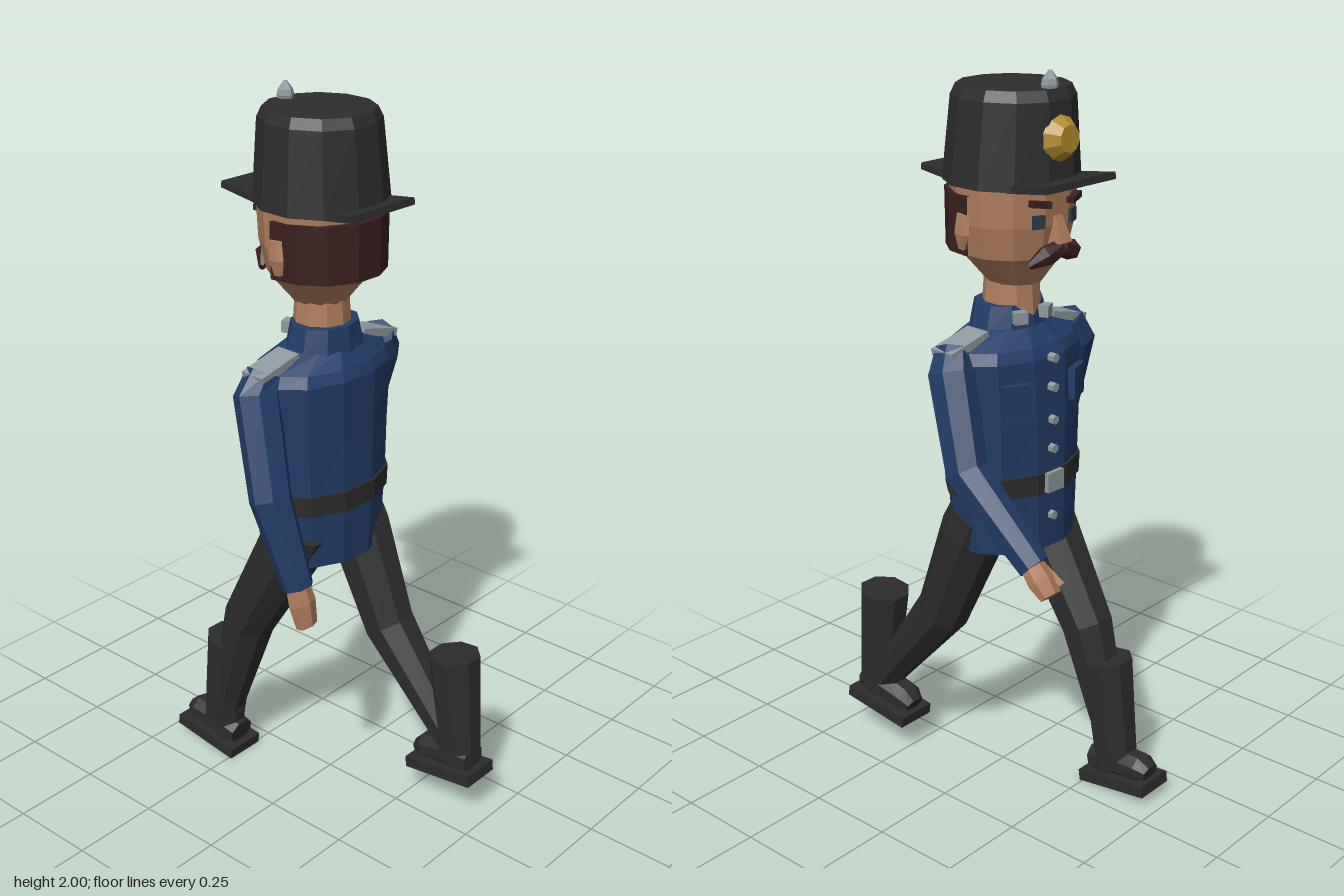
import * as THREE from 'three';

const makeMat = (name, color) => {
  const m = new THREE.MeshStandardMaterial({ color });
  m.name = name;
  return m;
};

// Faceted normals for the low-poly look
function facet(geo) {
  const g = geo.index ? geo.toNonIndexed() : geo;
  g.computeVertexNormals();
  return g;
}

// Capped loft through points; each radius is a number or [across, deep]
function loft(points, radii, n, level = false) {
  const P = points.map(p => new THREE.Vector3(...p));
  const verts = [], idx = [], k = 1 / Math.cos(Math.PI / n);
  P.forEach((p, i) => {
    const t = level ? new THREE.Vector3(0, 1, 0)
      : P[Math.min(i + 1, P.length - 1)].clone().sub(P[Math.max(i - 1, 0)]).normalize();
    const u = new THREE.Vector3(1, 0, 0).addScaledVector(t, -t.x).normalize();
    const v = t.clone().cross(u);
    const [a, b] = [radii[i]].flat().length > 1 ? radii[i] : [radii[i], radii[i]];
    for (let j = 0; j < n; j++) {
      const w = (j + 0.5) * 2 * Math.PI / n;
      const q = p.clone().addScaledVector(u, a * k * Math.cos(w)).addScaledVector(v, b * k * Math.sin(w));
      verts.push(q.x, q.y, q.z);
    }
  });
  const last = (P.length - 1) * n, c0 = P.length * n;
  verts.push(...P[0].toArray(), ...P[P.length - 1].toArray());
  for (let j = 0; j < n; j++) {
    const m = (j + 1) % n;
    for (let r = 0; r < last; r += n) idx.push(r + j, r + m, r + n + m, r + j, r + n + m, r + n + j);
    idx.push(c0, m, j, c0 + 1, last + j, last + m);
  }
  const g = new THREE.BufferGeometry();
  g.setAttribute('position', new THREE.Float32BufferAttribute(verts, 3));
  g.setIndex(idx);
  return facet(g);
}

export function createModel() {
  const root = new THREE.Group();
  root.name = 'walkingOfficer';
  const navy = makeMat('navyCloth', 0x223d68);
  const black = makeMat('blackCloth', 0x2d2d2d);
  const skin = makeMat('skin', 0xb17e5d);
  const hair = makeMat('darkBrownHair', 0x3b1f1f);
  const silver = makeMat('silver', 0x8f999f);
  const gold = makeMat('gold', 0xb38c2e);
  const eye = makeMat('eyeSlate', 0x2c3a48);

  const add = (parent, name, geo, mat, pos = [0, 0, 0], rot = [0, 0, 0]) => {
    const m = new THREE.Mesh(geo, mat);
    m.name = name;
    m.position.set(...pos);
    m.rotation.set(...rot);
    parent.add(m);
    return m;
  };
  const box = (w, h, d) => new THREE.BoxGeometry(w, h, d);
  const group = (name, parent = root) => {
    const g = new THREE.Group();
    g.name = name;
    parent.add(g);
    return g;
  };
  // Level loft from rows of [y, halfWidth, halfDepth, z]
  const stack = (rows, n) => loft(rows.map(r => [0, r[0], r[3]]), rows.map(r => [r[1], r[2]]), n, true);

  // Upper body is twisted slightly from the walk; the figure faces -z
  const body = group('upperBody');
  body.rotation.y = -0.05;

  // Coat, collar and belt
  add(body, 'coat', stack([
    [0.74, 0.18, 0.14, -0.04], [0.92, 0.198, 0.14, -0.035], [1.1, 0.205, 0.14, -0.035],
    [1.27, 0.215, 0.137, -0.03], [1.3, 0.2, 0.125, -0.03], [1.34, 0.11, 0.09, -0.025],
  ], 12), navy);
  add(body, 'collar', stack([[1.33, 0.112, 0.09, -0.02], [1.4, 0.095, 0.08, -0.02]], 10), navy);
  add(body, 'belt', stack([[0.9, 0.204, 0.146, -0.035], [0.958, 0.207, 0.147, -0.035]], 12), black);

  // Coat fittings
  add(body, 'beltBuckle', box(0.06, 0.055, 0.02), silver, [0, 0.93, -0.185]);
  for (const y of [0.83, 1.02, 1.1, 1.19, 1.27])
    add(body, 'button', facet(new THREE.CylinderGeometry(0.013, 0.013, 0.022, 6)), silver, [0, y, -0.18], [Math.PI / 2, 0, 0]);
  for (const s of [-1, 1]) {
    add(body, 'breastPocket', box(0.075, 0.085, 0.02), navy, [s * 0.115, 1.175, -0.157], [0, -s * 0.4, 0]);
    add(body, 'collarTab', box(0.035, 0.032, 0.03), silver, [s * 0.048, 1.372, -0.105], [0, -s * 0.4, 0]);
    add(body, 'epaulette', box(0.135, 0.022, 0.075), silver, [s * 0.188, 1.317, -0.03], [0, 0, -s * 0.24]);
  }

  // Neck and head
  const head = group('head', body);
  add(head, 'neck', stack([[1.37, 0.075, 0.075, -0.03], [1.48, 0.068, 0.068, -0.03]], 10), skin);
  add(head, 'skull', stack([
    [1.455, 0.068, 0.075, -0.04], [1.535, 0.138, 0.132, -0.035],
    [1.62, 0.158, 0.15, -0.035], [1.73, 0.163, 0.155, -0.035],
  ], 12), skin);
  const arc = Math.PI * 1.04;
  add(head, 'hair', facet(new THREE.CylinderGeometry(0.174, 0.172, 0.152, 7, 1, false, -arc / 2, arc)),
    hair, [0, 1.62, -0.032]);
  add(head, 'nose', loft([[0, 1.575, -0.198], [0, 1.645, -0.182]], [[0.022, 0.022], [0.012, 0.01]], 4), skin);
  for (const s of [-1, 1]) {
    add(head, 'ear', loft([[s * 0.166, 1.56, -0.02], [s * 0.172, 1.6, -0.022], [s * 0.17, 1.65, -0.024]],
      [[0.008, 0.013], [0.012, 0.023], [0.01, 0.018]], 6), skin);
    add(head, 'eye', box(0.034, 0.034, 0.009), eye, [s * 0.062, 1.636, -0.182], [0, -s * 0.35, 0]);
    add(head, 'eyebrow', box(0.055, 0.016, 0.022), hair, [s * 0.062, 1.682, -0.187], [0, -s * 0.35, s * 0.12]);
    add(head, 'moustache', loft([[0, 1.565, -0.2], [s * 0.045, 1.55, -0.194], [s * 0.082, 1.525, -0.168]],
      [0.02, 0.024, 0.008], 6), hair);
  }

  // Tall cap with front and rear peaks
  const cap = group('cap', head);
  add(cap, 'crown', stack([[1.715, 0.17, 0.173, -0.03], [1.93, 0.15, 0.157, -0.036], [1.957, 0.138, 0.143, -0.036]], 12), black);
  add(cap, 'frontPeak', box(0.255, 0.018, 0.18), black, [0, 1.726, -0.178], [0.13, 0, 0]);
  add(cap, 'rearPeak', box(0.23, 0.018, 0.17), black, [0, 1.722, 0.098], [-0.13, 0, 0]);
  const badge = add(cap, 'badge', facet(new THREE.CylinderGeometry(0.035, 0.062, 0.035, 10)), gold,
    [0, 1.84, -0.21], [-Math.PI / 2 + 0.06, 0, 0]);
  badge.scale.z = 1;
  add(cap, 'finial', stack([[1.94, 0.015, 0.015, -0.158], [1.965, 0.02, 0.02, -0.158],
    [1.98, 0.017, 0.017, -0.158], [2.0, 0.004, 0.004, -0.158]], 6), silver);

  // Arms: path of shoulder, elbow, wrist, then hand and thumb
  const arm = (name, path, hand, thumb) => {
    const g = group(name);
    add(g, 'sleeve', loft(path, [0.042, 0.056, 0.052, 0.038], 7), navy);
    add(g, 'hand', loft(hand, [[0.03, 0.022], [0.037, 0.024], [0.03, 0.018]], 6), skin);
    add(g, 'thumb', loft(thumb, [0.014, 0.011], 5), skin);
  };
  arm('leftArm',
    [[0.205, 1.305, -0.01], [0.235, 1.25, -0.03], [0.283, 1.02, -0.125], [0.267, 0.815, -0.335]],
    [[0.267, 0.822, -0.325], [0.267, 0.785, -0.36], [0.268, 0.752, -0.392]],
    [[0.24, 0.8, -0.345], [0.227, 0.765, -0.39]]);
  arm('rightArm',
    [[-0.205, 1.305, -0.045], [-0.235, 1.25, -0.045], [-0.284, 1.0, 0.045], [-0.27, 0.765, 0.125]],
    [[-0.27, 0.775, 0.12], [-0.266, 0.72, 0.135], [-0.263, 0.655, 0.148]],
    [[-0.236, 0.76, 0.11], [-0.228, 0.695, 0.112]]);

  // Legs: trousers, boot shaft, ankle and a tilted shoe
  const leg = (name, path, shaft, shoePos, shoeTilt) => {
    const g = group(name);
    add(g, 'trouserLeg', loft(path, [0.08, 0.085, 0.07, 0.042], 8), black);
    add(g, 'bootShaft', loft(shaft, [0.056, 0.068], 8), black);
    const shoe = group('shoe', g);
    shoe.position.set(...shoePos);
    shoe.rotation.x = shoeTilt;
    add(shoe, 'sole', box(0.118, 0.032, 0.222), black, [0, 0.016, 0]);
    add(shoe, 'upper', loft([[0, 0.06, 0.09], [0, 0.065, 0.01], [0, 0.06, -0.07], [0, 0.05, -0.1]],
      [[0.04, 0.035], [0.045, 0.042], [0.044, 0.036], [0.03, 0.02]], 8), black);
    add(shoe, 'ankle', loft([[0, 0.03, 0.04], [0, 0.13, 0.035]], [0.04, 0.045], 8), black);
  };
  leg('leftLeg',
    [[0.115, 0.835, -0.027], [0.112, 0.76, 0.01], [0.113, 0.485, 0.125], [0.115, 0.19, 0.36]],
    [[0.115, 0.185, 0.385], [0.115, 0.475, 0.355]], [0.113, 0.095, 0.353], -0.13);
  leg('rightLeg',
    [[-0.112, 0.85, 0.0], [-0.112, 0.76, -0.045], [-0.113, 0.47, -0.21], [-0.113, 0.09, -0.325]],
    [[-0.113, 0.085, -0.325], [-0.113, 0.385, -0.283]], [-0.113, 0.016, -0.352], 0.14);

  return root;
}
